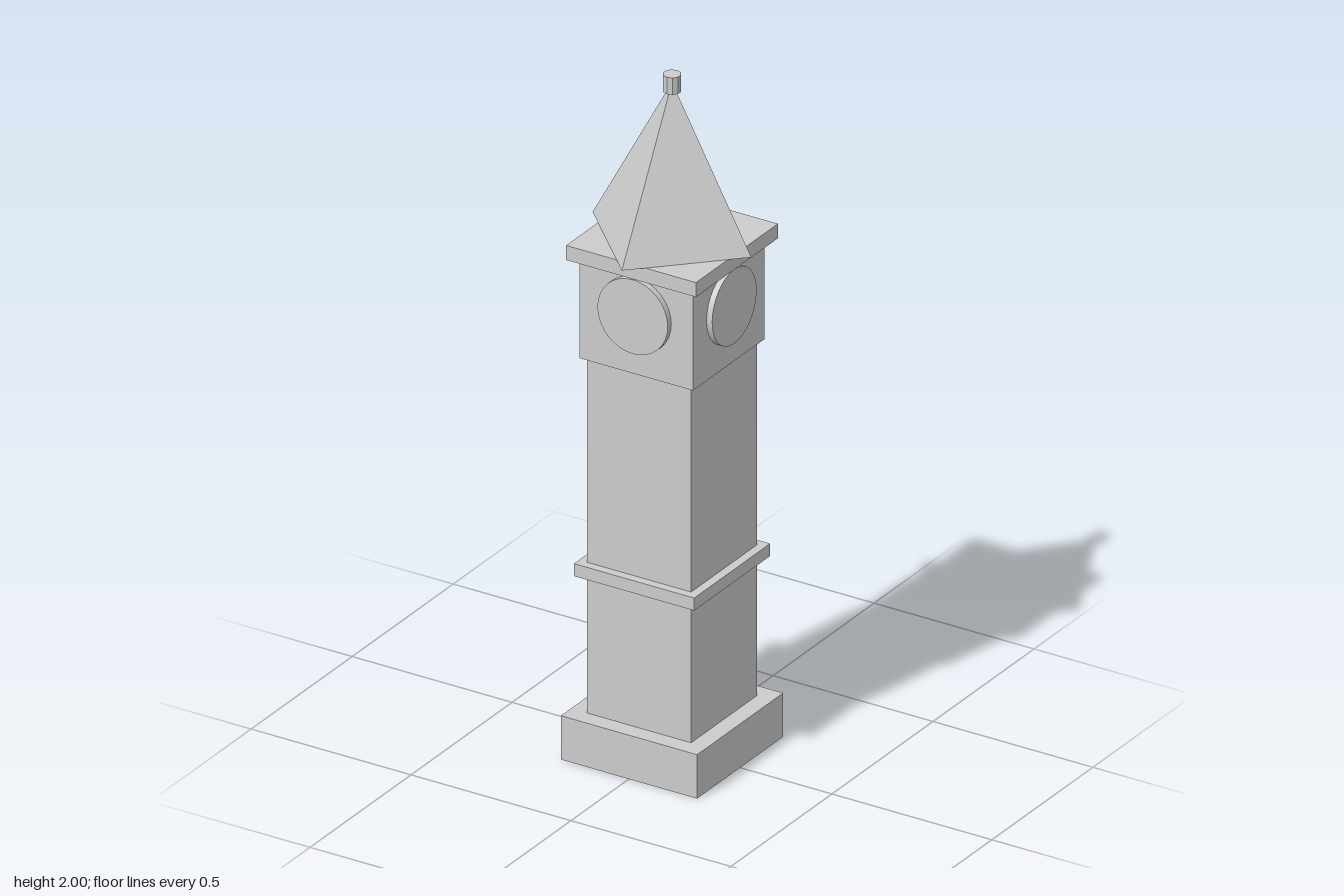
import * as THREE from 'three';

export function createModel() {
  const tower = new THREE.Group();
  tower.name = 'clockTower';
  const stone = new THREE.MeshStandardMaterial({ color: 0xcccccc, flatShading: true });
  stone.name = 'pale grey stone';
  const smoothStone = stone.clone(); // same colour, smooth rims for the dials
  smoothStone.flatShading = false;

  const add = (name, geometry, y, material = stone) => {
    const mesh = new THREE.Mesh(geometry, material);
    mesh.name = name;
    mesh.position.y = y;
    tower.add(mesh);
    return mesh;
  };

  // Square storeys, each given by its width, bottom and top
  const storeys = [
    ['plinth', 0.426, 0, 0.13],
    ['shaft', 0.325, 0.13, 1.185],
    ['stringCourse', 0.376, 0.54, 0.577],
    ['clockStage', 0.355, 1.185, 1.48],
    ['cornice', 0.406, 1.48, 1.523],
  ];
  for (const [name, width, bottom, top] of storeys) {
    add(name, new THREE.BoxGeometry(width, top - bottom, width), (bottom + top) / 2);
  }

  // Four round dials, one on each face of the clock stage
  const dial = new THREE.CylinderGeometry(0.11, 0.11, 0.03, 32).rotateX(Math.PI / 2).translate(0, 0, 0.18);
  ['front', 'left', 'back', 'right'].forEach((side, i) => {
    add(side + 'ClockDial', dial, 1.363, smoothStone).rotation.y = (i * Math.PI) / 2;
  });

  // Pyramid spire with its corners over the middle of each face
  add('spire', new THREE.ConeGeometry(0.248, 0.452, 4), 1.523 + 0.226);

  // Small finial on the tip
  add('finial', new THREE.CylinderGeometry(0.025, 0.025, 0.05, 10), 1.975);

  return tower;
}
